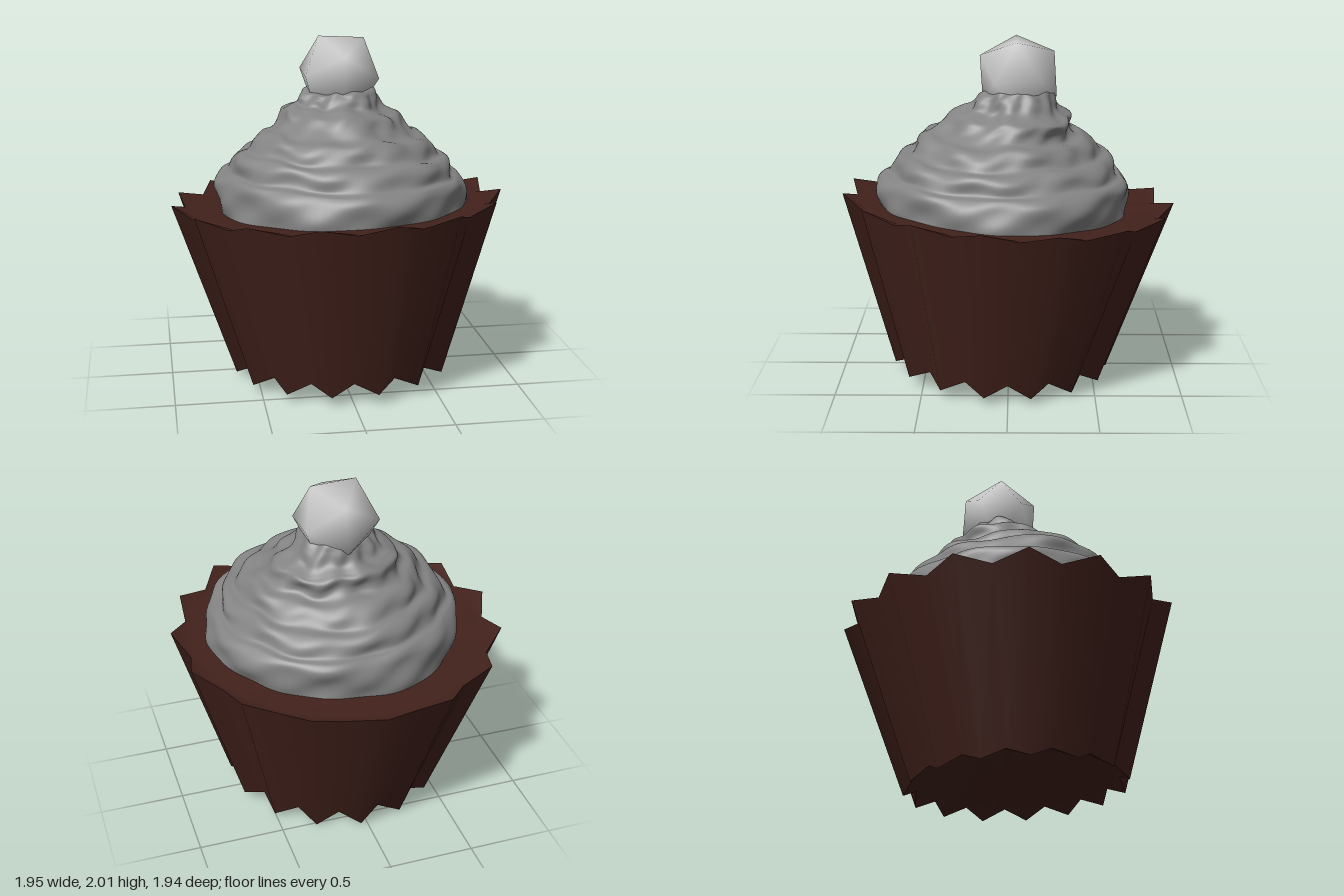
import * as THREE from 'three';

// Skin a stack of closed rings (listed bottom to top, each an array of [x, y, z])
function loft(rings) {
  const n = rings[0].length, index = [];
  for (let j = 0; j < rings.length - 1; j++) {
    for (let i = 0; i < n; i++) {
      const a = j * n + i, b = j * n + (i + 1) % n;
      index.push(a, a + n, b, b, a + n, b + n);
    }
  }
  const geometry = new THREE.BufferGeometry();
  geometry.setAttribute('position', new THREE.Float32BufferAttribute(rings.flat(2), 3));
  geometry.setIndex(index);
  geometry.computeVertexNormals();
  return geometry;
}

// Smooth shading as if the surface were round: normals come from rule(position)
function roundNormals(geometry, rule) {
  const { position, normal } = geometry.attributes, v = new THREE.Vector3();
  for (let i = 0; i < position.count; i++) {
    rule(v.fromBufferAttribute(position, i)).normalize();
    normal.setXYZ(i, v.x, v.y, v.z);
  }
  return geometry;
}

function part(name, geometry, color) {
  const mesh = new THREE.Mesh(geometry, new THREE.MeshStandardMaterial({ color }));
  mesh.name = name;
  return mesh;
}

// Pleated cup: 15 points, alternating tip and valley
function createCup() {
  const points = 15, start = 7.6 * Math.PI / 180;
  const star = (tipR, valleyR, tipY, valleyY) => Array.from({ length: points * 2 }, (_, i) => {
    const a = start + i * Math.PI / points;
    const r = i % 2 ? valleyR : tipR;
    return [r * Math.cos(a), i % 2 ? valleyY : tipY, r * Math.sin(a)];
  });
  const top = star(0.979, 0.9, 0.05, 0);
  const bottom = star(0.642, 0.588, -0.99, -0.93);
  const wall = roundNormals(loft([bottom, top]), (v) => v.setY(-0.33 * Math.hypot(v.x, v.z)));
  const brown = 0x43221c;
  const cup = new THREE.Group();
  cup.name = 'cup';
  cup.add(
    part('cupWall', wall, brown),
    part('cupTop', loft([top, star(0.87, 0.87, 0, 0), star(0, 0, 0, 0)]), brown),
    part('cupBase', loft([star(0, 0, -0.93, -0.93), star(0.57, 0.57, -0.93, -0.93), bottom]), brown),
  );
  // The whole cup leans slightly
  cup.position.set(0, 1.02, 0.004);
  cup.rotation.set(-0.047, 0, 0.02);
  return cup;
}

// Piped frosting: stacked layers with ledges, leaning back near the tip
function createFrosting() {
  const profile = new THREE.SplineCurve([
    [0.72, 0.95], [0.735, 1.08], [0.73, 1.17], [0.7, 1.215], [0.655, 1.235], [0.635, 1.3],
    [0.6, 1.335], [0.545, 1.35], [0.51, 1.41], [0.47, 1.445], [0.41, 1.46], [0.37, 1.5],
    [0.345, 1.555], [0.3, 1.58], [0.25, 1.605], [0.22, 1.66], [0.17, 1.705], [0, 1.72],
  ].map(([r, y]) => new THREE.Vector2(r, y)));
  const smooth = THREE.MathUtils.smoothstep;
  const rows = 110, cols = 120, rings = [];
  for (let j = 0; j <= rows; j++) {
    const p = profile.getPoint(j / rows);
    const fade = smooth(p.x, 0, 0.2);
    const lift = smooth(p.y, 1, 1.4);
    const lean = smooth(p.y, 1.44, 1.6);
    // Lower ledges rise to the right-hand side, the tip to the opposite one
    const tilt = 0.02 - 0.04 * smooth(p.x, 0.15, 0.3);
    const ring = [];
    for (let i = 0; i < cols; i++) {
      const a = i / cols * Math.PI * 2;
      const wobble = 0.011 * Math.sin(3 * a + 14 * p.y) + 0.008 * Math.sin(7 * a - 23 * p.y)
        + 0.005 * Math.sin(13 * a + 31 * p.y);
      const r = p.x + fade * wobble;
      const y = p.y + fade * lift * (0.01 * Math.sin(4 * a + 6 * p.x)
        + 0.006 * Math.sin(9 * a + 20 * p.x) + tilt * Math.cos(a + 0.6));
      ring.push([0.025 + r * Math.cos(a), y, 0.03 - 0.07 * lean + r * Math.sin(a)]);
    }
    rings.push(ring);
  }
  return part('frosting', loft(rings), 0x848484);
}

// Low-poly berry on top, smooth shaded
function createBerry() {
  const berry = part('berry', roundNormals(new THREE.IcosahedronGeometry(0.253, 0), (v) => v), 0xcccccc);
  berry.position.set(0.022, 1.783, -0.056);
  berry.rotation.set(0.06, 0, -0.05);
  return berry;
}

export function createModel() {
  const model = new THREE.Group();
  model.name = 'cupcake';
  model.add(createCup(), createFrosting(), createBerry());
  return model;
}
